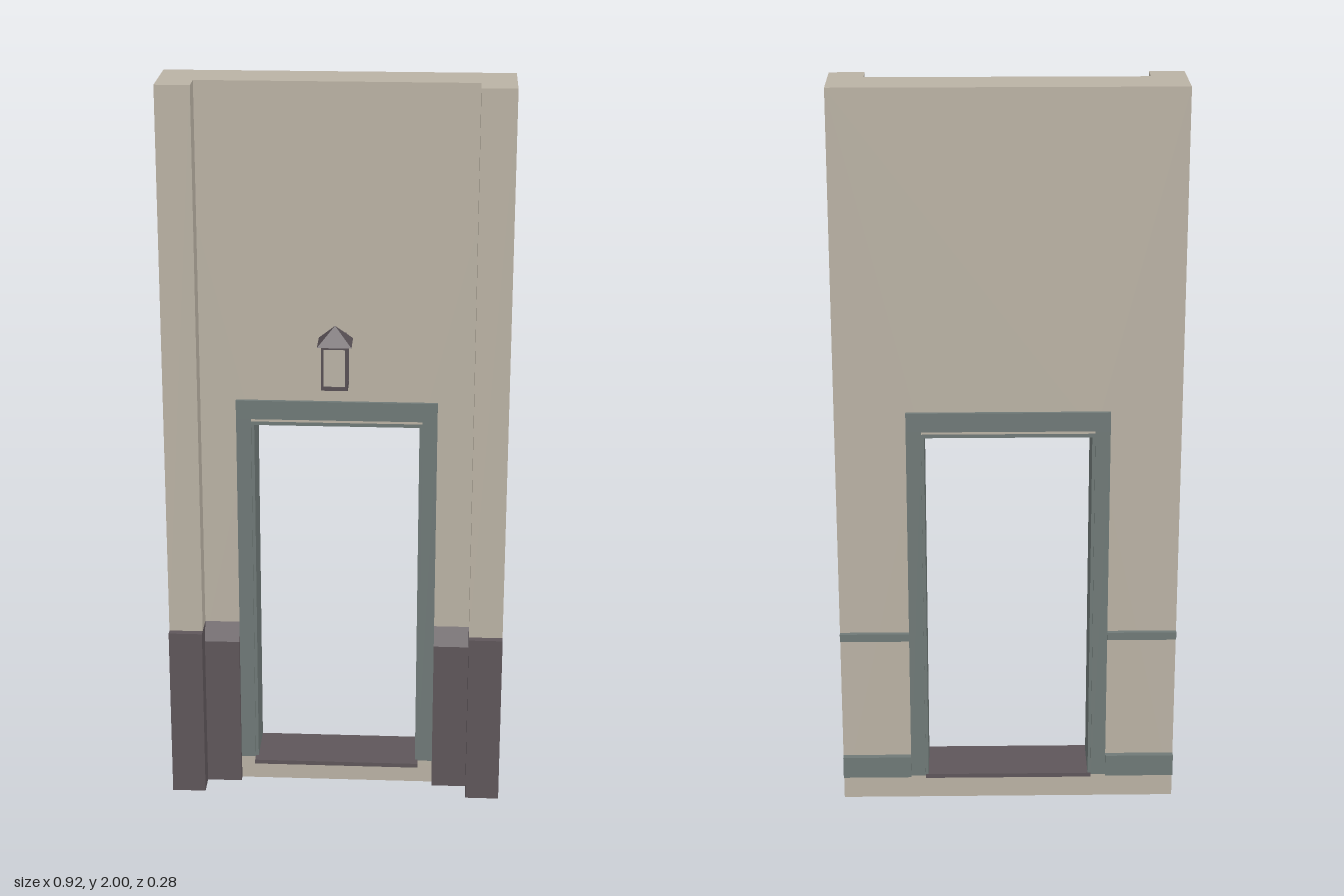
import * as THREE from 'three';

const material = (name, color) => {
  const m = new THREE.MeshStandardMaterial({ color });
  m.name = name;
  return m;
};

export function createModel() {
  const plaster = material('plaster', 0xbab2a4);
  const stone = material('dark stone', 0x5e565a);
  const trim = material('painted trim', 0x6f7977);
  const metal = material('lantern metal', 0x585054);
  const pane = material('lantern pane', 0xb9b2a5);

  const model = new THREE.Group();
  model.name = 'doorwayWall';

  const add = (parent, name, geometry, mat) => {
    const mesh = new THREE.Mesh(geometry, mat);
    mesh.name = name;
    parent.add(mesh);
    return mesh;
  };
  // Box given by its limits on each axis
  const box = (parent, name, mat, [x0, x1], [y0, y1], [z0, z1]) => {
    const g = new THREE.BoxGeometry(x1 - x0, y1 - y0, z1 - z0);
    g.translate((x0 + x1) / 2, (y0 + y1) / 2, (z0 + z1) / 2);
    return add(parent, name, g, mat);
  };
  // Range on the model's left (s = 1) or right (s = -1)
  const side = (s, a, b) => (s > 0 ? [a, b] : [-b, -a]);

  const W = 0.458, BACK = -0.122, FRONT = 0.013;
  const DOOR = 0.23, CASING = 0.27, PIER = 0.366, PLINTH = 0.487;

  // Wall slab with the door opening
  const wall = new THREE.Shape();
  wall.moveTo(-W, 0).lineTo(W, 0).lineTo(W, 2).lineTo(-W, 2).closePath();
  const opening = new THREE.Path();
  opening.moveTo(-DOOR, 0.058).lineTo(-DOOR, 1.08).lineTo(DOOR, 1.08).lineTo(DOOR, 0.058).closePath();
  wall.holes.push(opening);
  const wallGeo = new THREE.ExtrudeGeometry(wall, { depth: FRONT - BACK, bevelEnabled: false });
  wallGeo.translate(0, 0, BACK);
  add(model, 'wall', wallGeo, plaster);

  // Sill and the lining of the opening
  box(model, 'sill', stone, [-DOOR, DOOR], [0.058, 0.07], [BACK, 0.04]);
  box(model, 'liningTop', trim, [-DOOR, DOOR], [1.07, 1.08], [BACK, FRONT]);

  // Stone skirting profile with a steep sloping top (z, y)
  const skirting = new THREE.Shape();
  skirting.moveTo(FRONT, 0).lineTo(0.035, 0).lineTo(0.035, 0.435).lineTo(FRONT, PLINTH).closePath();

  for (const s of [1, -1]) {
    const label = s > 0 ? 'left' : 'right';

    // Pilaster on its stone plinth
    box(model, label + 'Pilaster', plaster, side(s, PIER, W), [PLINTH, 2], [FRONT, 0.08]);
    box(model, label + 'Plinth', stone, side(s, PIER, W), [0, PLINTH], [FRONT, 0.1]);

    // Skirting between pilaster and door
    const g = new THREE.ExtrudeGeometry(skirting, { depth: PIER - CASING, bevelEnabled: false });
    g.rotateY(-Math.PI / 2);
    g.translate(side(s, CASING, PIER)[1], 0, 0);
    add(model, label + 'Skirting', g, stone);

    // Door lining, and rails on the back
    box(model, label + 'Lining', trim, side(s, 0.222, DOOR), [0.07, 1.07], [BACK, FRONT]);
    box(model, label + 'ChairRail', trim, side(s, CASING, W), [0.485, 0.507], [-0.135, BACK]);
    box(model, label + 'Baseboard', trim, side(s, CASING, W), [0.07, 0.132], [-0.139, BACK]);

    // Casings on both faces
    box(model, label + 'FrontCasing', trim, side(s, DOOR, CASING), [0.07, 1.09], [FRONT, 0.02]);
    box(model, label + 'BackCasing', trim, side(s, DOOR, CASING), [0.07, 1.09], [-0.129, BACK]);
  }
  box(model, 'frontHeader', trim, [-CASING, CASING], [1.09, 1.142], [FRONT, 0.023]);
  box(model, 'backHeader', trim, [-CASING, CASING], [1.09, 1.142], [-0.132, BACK]);

  // Wall lantern
  const lantern = new THREE.Group();
  lantern.name = 'lantern';
  model.add(lantern);
  const LZ = 0.091, R = 0.035, POST = 0.007;
  box(lantern, 'backPlate', metal, [-0.026, 0.026], [1.24, 1.335], [FRONT, 0.023]);
  box(lantern, 'arm', metal, [-0.006, 0.006], [1.29, 1.302], [0.023, LZ - 0.03]);
  box(lantern, 'lanternBase', metal, [-R, R], [1.21, 1.22], [LZ - R, LZ + R]);
  box(lantern, 'lanternTopRail', metal, [-R, R], [1.322, 1.33], [LZ - R, LZ + R]);
  box(lantern, 'panes', pane, [-0.031, 0.031], [1.22, 1.322], [LZ - 0.031, LZ + 0.031]);
  for (const sx of [1, -1]) {
    for (const sz of [1, -1]) {
      const [z0, z1] = side(sz, R - POST, R);
      box(lantern, 'post', metal, side(sx, R - POST, R), [1.22, 1.322], [LZ + z0, LZ + z1]);
    }
  }
  const roof = new THREE.ConeGeometry(0.045 * Math.SQRT2, 0.047, 4).toNonIndexed();
  roof.computeVertexNormals();
  roof.rotateY(Math.PI / 4);
  roof.translate(0, 1.3535, LZ);
  add(lantern, 'lanternRoof', roof, metal);

  return model;
}
